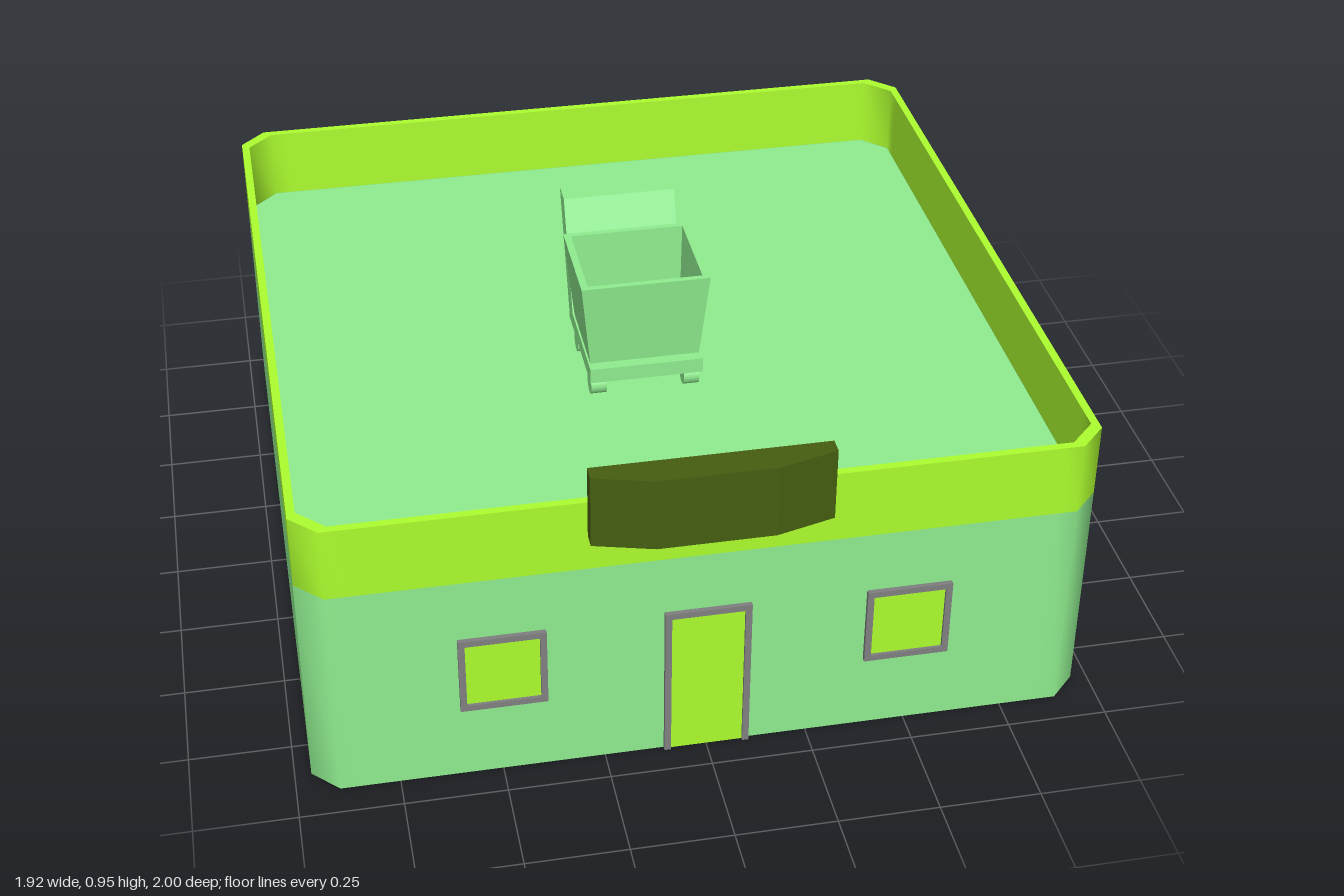
import * as THREE from 'three';
import { toCreasedNormals } from 'three/addons/utils/BufferGeometryUtils.js';

const mat = (color, extra = {}) => new THREE.MeshStandardMaterial({ color, ...extra });
const GREEN = mat(0x90ee90), LIME = mat(0xadff2f), OLIVE = mat(0x465e10), GREY = mat(0x808080);
const GREEN_FLAT = mat(0x90ee90, { flatShading: true });

function add(parent, name, geometry, material, x = 0, y = 0, z = 0) {
  const mesh = new THREE.Mesh(geometry, material);
  mesh.name = name;
  mesh.position.set(x, y, z);
  parent.add(mesh);
  return mesh;
}

// Square outline with cut corners; extra points keep the shading blend close to the corners
function outline(half, cut) {
  const pts = [], e = half - cut, s = e - 0.05;
  for (let i = 0; i < 4; i++) {
    const a = i * Math.PI / 2;
    for (const [x, y] of [[half, -s], [half, s], [half, e], [e, half]].concat([[half, -e]]).sort((p, q) => p[1] - q[1]))
      pts.push(new THREE.Vector2(x, y).rotateAround(new THREE.Vector2(), a));
  }
  // the cut corner's second point repeats as the next side's first point
  return pts.filter((p, i) => p.distanceTo(pts[(i + 1) % pts.length]) > 1e-5);
}

// Upright slab or ring extruded from the outline
function slab(half, cut, height, hole) {
  const shape = new THREE.Shape(outline(half, cut));
  if (hole) shape.holes.push(new THREE.Path(outline(hole, cut)));
  const geo = new THREE.ExtrudeGeometry(shape, { depth: height, bevelEnabled: false });
  return toCreasedNormals(geo.rotateX(-Math.PI / 2), Math.PI / 3);
}

// Pane through the front wall with a thin raised frame
function opening(parent, name, x, y, w, h, isDoor) {
  const g = new THREE.Group();
  g.name = name;
  g.position.set(x, y, 0);
  parent.add(g);
  const t = 0.016, bottom = isDoor ? 0 : t;
  add(g, name + 'Pane', new THREE.BoxGeometry(w - 2 * t, h - t - bottom, 0.027), LIME, 0, (h - t + bottom) / 2, 0.911);
  for (const s of [-1, 1])
    add(g, name + 'FrameSide', new THREE.BoxGeometry(t, h, 0.03), GREY, s * (w - t) / 2, h / 2, 0.917);
  add(g, name + 'FrameTop', new THREE.BoxGeometry(w, t, 0.03), GREY, 0, h - t / 2, 0.917);
  if (!isDoor) add(g, name + 'FrameBottom', new THREE.BoxGeometry(w, t, 0.03), GREY, 0, t / 2, 0.917);
}

function createCart() {
  const cart = new THREE.Group();
  cart.name = 'cart';
  cart.position.set(-0.018, 0.578, 0);

  // Open tapered basket
  const profile = [[0, 0], [0.86, 0], [1, 0.232], [0.89, 0.232], [0.86, 0.02], [0, 0.02]]
    .map(([r, y]) => new THREE.Vector2(r * Math.SQRT2, y));
  const basket = new THREE.LatheGeometry(profile, 4, Math.PI / 4).scale(0.163, 1, 0.14);
  add(cart, 'basket', basket, GREEN_FLAT, 0, 0.097, 0.098);

  // Base plate and wheels
  add(cart, 'basePlate', new THREE.BoxGeometry(0.29, 0.04, 0.32), GREEN, 0, 0.078, 0.088);
  for (const x of [-0.12, 0.12]) for (const z of [0.2, 0])
    add(cart, 'wheel', new THREE.CylinderGeometry(0.03, 0.03, 0.04, 16).rotateZ(Math.PI / 2), GREEN, x, 0.03, z);

  // Back panel sheared to lean backwards
  const back = new THREE.BoxGeometry(0.29, 0.318, 0.062);
  const p = back.attributes.position;
  for (let i = 0; i < p.count; i++) p.setZ(i, p.getZ(i) - 0.41 * p.getY(i));
  back.computeVertexNormals();
  add(cart, 'backPanel', back, GREEN, 0, 0.218, -0.102);
  return cart;
}

export function createModel() {
  const model = new THREE.Group();
  model.name = 'shop';

  // Walls, parapet band and sunken roof
  add(model, 'walls', slab(0.96, 0.065, 0.58, 0.94), GREEN, 0, 0, -0.04);
  add(model, 'parapet', slab(0.96, 0.065, 0.19, 0.94), LIME, 0, 0.58, -0.04);
  add(model, 'roof', slab(0.945, 0.065, 0.01), GREEN, 0, 0.569, -0.04);
  add(model, 'innerPanel', new THREE.BoxGeometry(0.006, 0.19, 0.82), GREEN, -0.939, 0.28, -0.055);

  // Door and windows
  opening(model, 'door', 0, 0, 0.21, 0.423, true);
  for (const s of [-1, 1]) opening(model, 'window', s * 0.493, 0.204, 0.21, 0.211, false);

  // Faceted sign board over the door
  const board = new THREE.Shape([[-0.286, -0.92], [-0.286, -0.96], [-0.14, -1], [0.14, -1], [0.286, -0.96], [0.286, -0.92]]
    .map(([x, y]) => new THREE.Vector2(x, y)));
  const boardGeo = new THREE.ExtrudeGeometry(board, { depth: 0.19, bevelEnabled: false }).rotateX(-Math.PI / 2);
  add(model, 'signBoard', boardGeo, OLIVE, 0, 0.676, 0);

  model.add(createCart());
  return model;
}
